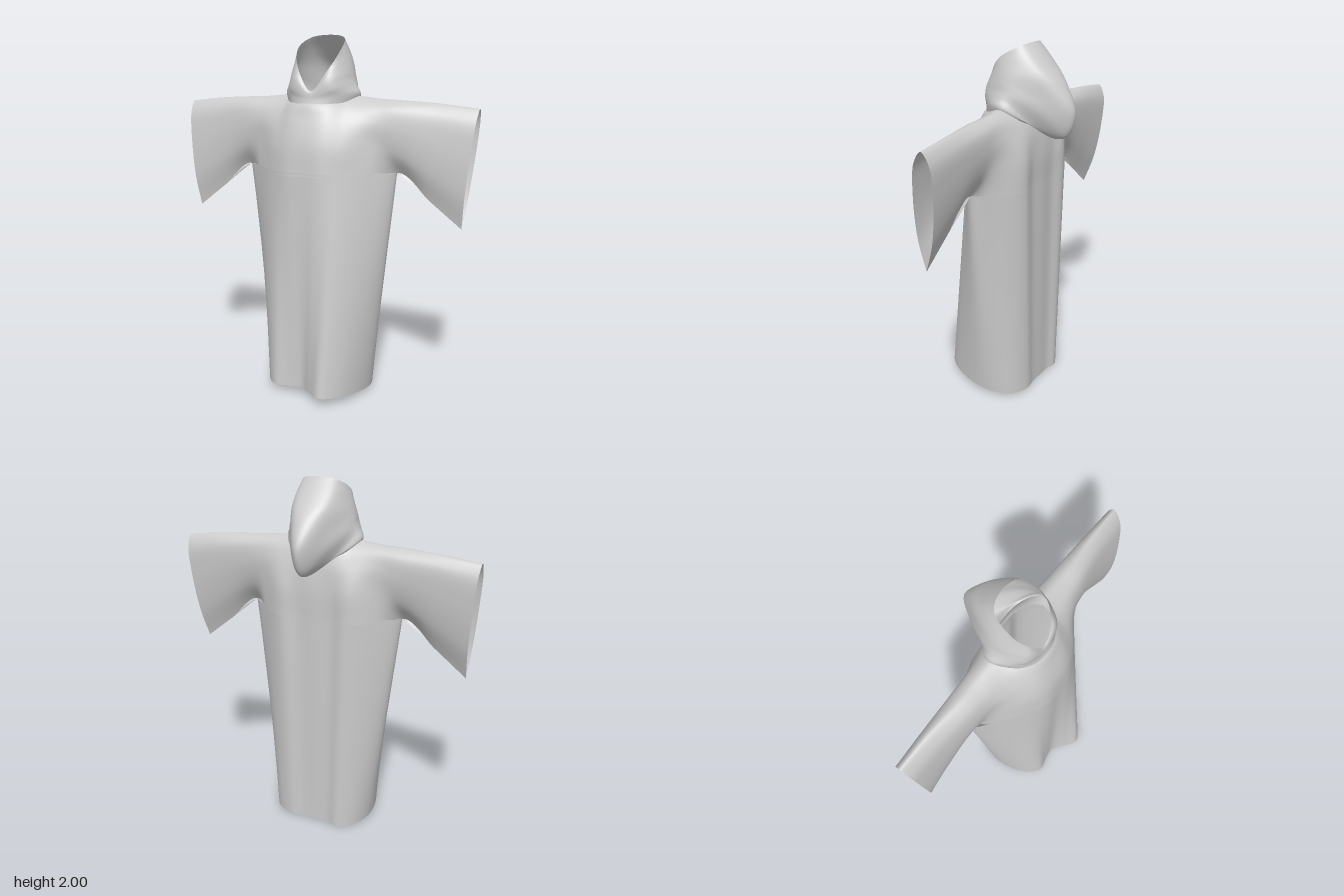
import * as THREE from 'three';

const cloth = new THREE.MeshStandardMaterial({ color: 0xcccccc, side: THREE.DoubleSide });
const V = (p) => new THREE.Vector3(...p);

// Closed ring from a half outline running front centre -> left side -> back centre
function mirrored(half) {
  const other = half.slice(1, -1).reverse().map(([x, y, z]) => [-x, y, z]);
  return [...half, ...other];
}

// Smooth cloth through a row of sections (closed rings or open arcs); skip(centre) leaves holes
function loft(name, sections, closed, nu, nv, skip = () => false) {
  const count = closed ? nu : nu + 1;
  const sampled = sections.map((s) => {
    const curve = new THREE.CatmullRomCurve3(s.map(V), closed);
    return Array.from({ length: count }, (_, i) => curve.getPoint(i / nu));
  });
  const columns = sampled[0].map((_, i) => new THREE.CatmullRomCurve3(sampled.map((s) => s[i])));
  const points = [], index = [];
  for (let j = 0; j <= nv; j++) {
    for (const c of columns) points.push(c.getPoint(j / nv));
  }
  for (let j = 0; j < nv; j++) {
    for (let i = 0; i < nu; i++) {
      const a = j * count + i, b = j * count + ((i + 1) % count), c = b + count, d = a + count;
      if (skip(points[a].clone().lerp(points[c], 0.5))) continue;
      index.push(a, b, c, a, c, d);
    }
  }
  const g = new THREE.BufferGeometry().setFromPoints(points);
  g.setIndex(index);
  g.computeVertexNormals();
  const mesh = new THREE.Mesh(g, cloth);
  mesh.name = name;
  return mesh;
}

// Skirt of the robe: wavy hem rising straight to the chest
function makeSkirt() {
  const hem = [
    [0, 0.26], [0.07, 0.31], [0.15, 0.36], [0.25, 0.27], [0.32, 0.03], [0.27, -0.12],
    [0.16, -0.175], [0.08, -0.165], [0, -0.165], [-0.08, -0.165], [-0.15, -0.18],
    [-0.23, -0.13], [-0.28, 0], [-0.24, 0.2], [-0.16, 0.28], [-0.08, 0.265],
  ].map(([x, z]) => [x, (z + 0.18) * 0.085, z]);
  const chest = mirrored([[0, 0.25], [0.1, 0.245], [0.2, 0.2], [0.34, 0.1], [0.45, -0.005],
    [0.34, -0.105], [0.2, -0.18], [0.1, -0.165], [0, -0.17]].map(([x, z]) => [x, 1.27, z]));
  return loft('robeSkirt', [hem, chest], true, 96, 40);
}

// Chest, shoulders and both sleeves as one cloth, in sections from cuff to cuff
function makeYoke() {
  // arcs over the shoulder: front bottom -> top -> back bottom, as [y, z]
  const torso = [
    [0, [[1.25, 0.251], [1.42, 0.235], [1.56, 0.19], [1.64, 0.15], [1.68, 0],
      [1.63, -0.12], [1.56, -0.15], [1.42, -0.17], [1.25, -0.17]]],
    [0.1, [[1.25, 0.246], [1.42, 0.225], [1.56, 0.178], [1.64, 0.125], [1.685, 0],
      [1.64, -0.11], [1.56, -0.15], [1.42, -0.167], [1.25, -0.165]]],
    [0.2, [[1.25, 0.201], [1.42, 0.18], [1.55, 0.13], [1.63, 0.065], [1.675, -0.025],
      [1.64, -0.09], [1.55, -0.14], [1.42, -0.175], [1.25, -0.18]]],
    [0.34, [[1.25, 0.101], [1.42, 0.09], [1.54, 0.082], [1.62, 0.045], [1.66, -0.03],
      [1.63, -0.085], [1.55, -0.11], [1.42, -0.11], [1.25, -0.105]]],
  ].map(([x, arc]) => arc.map(([y, z]) => [x, y, z]));
  // sleeve teardrops: share of the height from the top, share of the half thickness
  const drop = [[1, 0], [0.72, 0.75], [0.35, 1], [0.1, 0.75], [0, 0],
    [0.1, -0.75], [0.35, -1], [0.72, -0.75], [1, 0]];
  // top x, top y, bottom x, bottom y, half thickness, top z
  const sleeve = [
    [0.455, 1.655, 0.45, 1.265, 0.082, -0.03],
    [0.67, 1.642, 0.635, 1.128, 0.066, -0.045],
    [0.875, 1.62, 0.815, 0.99, 0.06, -0.05],
  ].map(([xt, yt, xb, yb, h, z]) => drop.map(([t, w]) => [
    xt + (xb - xt) * t, yt + (yb - yt) * t, z * (1 - t) + w * h]));
  const left = [...torso, ...sleeve];
  const right = left.slice(1).reverse().map((s) => s.map(([x, y, z]) => [-x, y, z]));
  const neckHole = ({ x, y, z }) => y > 1.5 && Math.hypot(x / 0.18, (z - 0.02) / 0.125) < 1;
  return loft('shouldersAndSleeves', [...right, ...left], false, 96, 168, neckHole);
}

// Hood: rises from the collar, sags behind, opens forward and up
function makeHood() {
  const rings = [
    [[0, 1.57, 0.175], [0.13, 1.61, 0.11], [0.2, 1.635, -0.02], [0.13, 1.6, -0.11], [0, 1.58, -0.13]],
    [[0, 1.655, 0.15], [0.13, 1.675, 0.112], [0.22, 1.685, -0.03], [0.13, 1.6, -0.14], [0, 1.56, -0.15]],
    [[0, 1.675, 0.147], [0.13, 1.71, 0.118], [0.2, 1.725, -0.04], [0.1, 1.58, -0.18], [0, 1.505, -0.23]],
    [[0, 1.685, 0.145], [0.12, 1.74, 0.122], [0.187, 1.76, -0.04], [0.1, 1.64, -0.23], [0, 1.52, -0.31]],
    [[0, 1.69, 0.143], [0.11, 1.765, 0.122], [0.178, 1.8, -0.03], [0.095, 1.72, -0.24], [0, 1.65, -0.355]],
    [[0, 1.695, 0.14], [0.1, 1.78, 0.121], [0.165, 1.845, -0.02], [0.1, 1.83, -0.21], [0, 1.78, -0.3]],
    [[0, 1.698, 0.138], [0.092, 1.79, 0.118], [0.147, 1.89, 0], [0.105, 1.92, -0.14], [0, 1.9, -0.2]],
    [[0, 1.7, 0.135], [0.08, 1.8, 0.112], [0.13, 1.92, 0.03], [0.1, 1.985, -0.08], [0, 2.0, -0.11]],
  ].map(mirrored);
  return loft('hood', rings, true, 64, 56);
}

export function createModel() {
  const robe = new THREE.Group();
  robe.name = 'hoodedRobe';
  robe.add(makeSkirt(), makeYoke(), makeHood());
  return robe;
}
